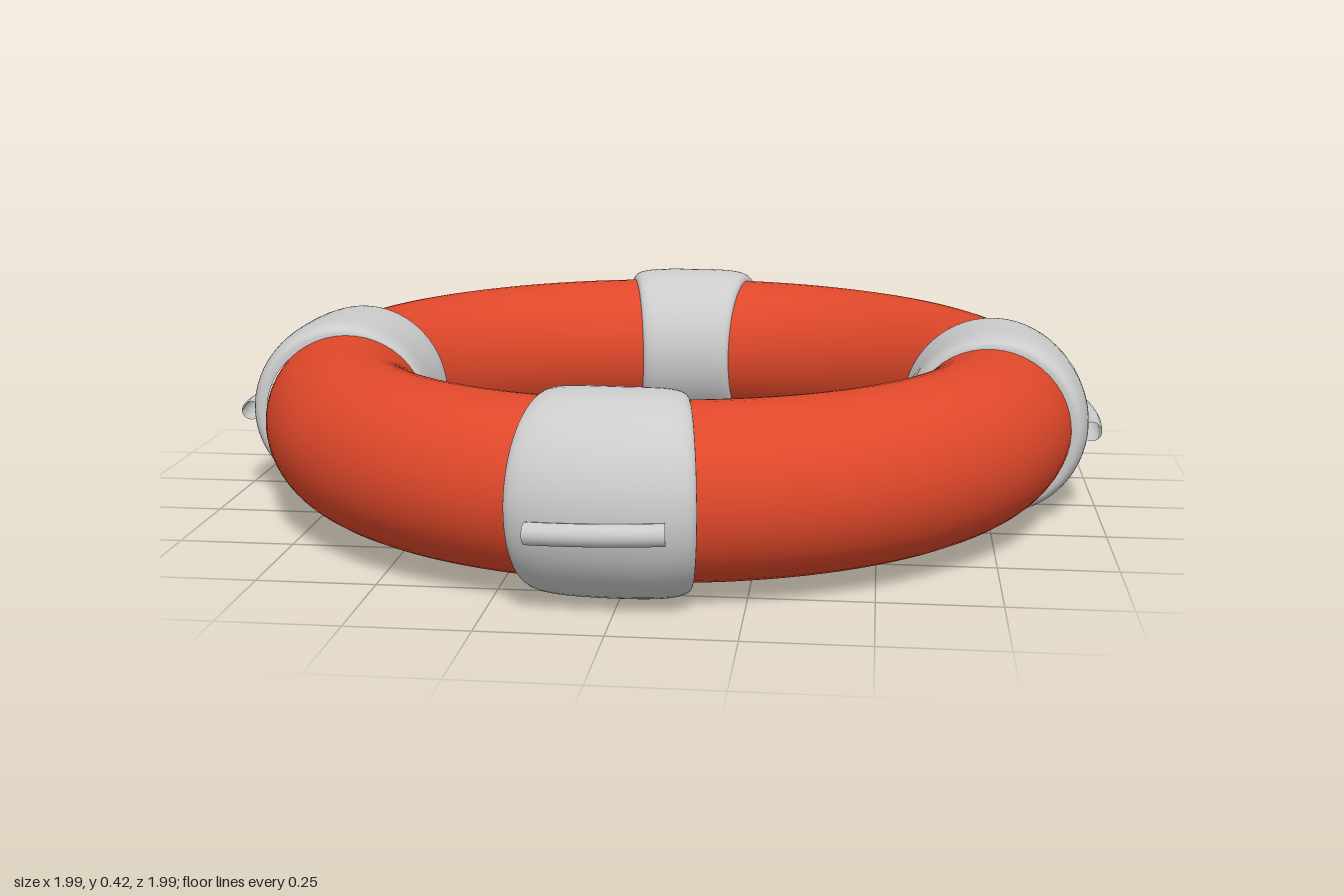
import * as THREE from 'three';
import { ParametricGeometry } from 'three/addons/geometries/ParametricGeometry.js';

const orange = new THREE.MeshStandardMaterial({ color: 0xe0482a });
const grey = new THREE.MeshStandardMaterial({ color: 0xcccccc });
const greyOpen = new THREE.MeshStandardMaterial({ color: 0xcccccc, side: THREE.DoubleSide });

function mesh(name, geometry, material) {
  const m = new THREE.Mesh(geometry, material);
  m.name = name;
  return m;
}

// Sleeve around the ring, centred on +z, with softly rounded rims
function cuffGeometry() {
  const R = 0.76, halfAngle = 0.198, rimRadius = 0.17, bulge = 0.038;
  return new ParametricGeometry((u, v, p) => {
    const th = (u - 0.5) * Math.PI;
    const s = Math.sign(th) * Math.sqrt(Math.abs(Math.sin(th)));
    const r = rimRadius + bulge * Math.sqrt(Math.max(0, Math.cos(th)));
    const a = s * halfAngle, t = v * Math.PI * 2;
    const d = R + r * Math.cos(t);
    p.set(Math.sin(a) * d, r * Math.sin(t), Math.cos(a) * d);
  }, 32, 64);
}

// Slim curved loop that follows the outside of a cuff
function loopGeometry(tilt) {
  const R = 0.975, half = 0.137, points = [];
  for (let i = 0; i <= 8; i++) {
    const s = i / 4 - 1, a = s * half;
    points.push(new THREE.Vector3(Math.sin(a) * R, s * tilt, Math.cos(a) * R));
  }
  return new THREE.TubeGeometry(new THREE.CatmullRomCurve3(points), 24, 0.022, 16);
}

export function createModel() {
  const model = new THREE.Group();
  model.name = 'lifebuoy';

  // Main float
  const ring = mesh('floatRing', new THREE.TorusGeometry(0.75, 0.18, 48, 128), orange);
  ring.rotation.x = Math.PI / 2;
  ring.position.set(0.01, 0.21, -0.015);
  model.add(ring);

  // Four cuffs, each carrying a rope loop
  const cuff = cuffGeometry();
  const q = Math.PI / 2;
  const sides = [
    { name: 'front', cuffAngle: -0.028, loopAngle: -0.03, y: -0.025, tilt: 0.004 },
    { name: 'left', cuffAngle: q + 0.013, loopAngle: q + 0.018, y: -0.006, tilt: 0.001 },
    { name: 'back', cuffAngle: 2 * q + 0.027, loopAngle: 2 * q + 0.02, y: -0.025, tilt: 0.002 },
    { name: 'right', cuffAngle: -q - 0.012, loopAngle: -q - 0.006, y: -0.006, tilt: 0.001 },
  ];
  for (const s of sides) {
    const side = new THREE.Group();
    side.name = s.name + 'Grip';
    side.position.set(0.006, 0.21, -0.011);
    const sleeve = mesh(s.name + 'Cuff', cuff, grey);
    sleeve.rotation.y = s.cuffAngle;
    const loop = mesh(s.name + 'RopeLoop', loopGeometry(s.tilt), greyOpen);
    loop.rotation.y = s.loopAngle;
    loop.position.y = s.y;
    side.add(sleeve, loop);
    model.add(side);
  }
  return model;
}
